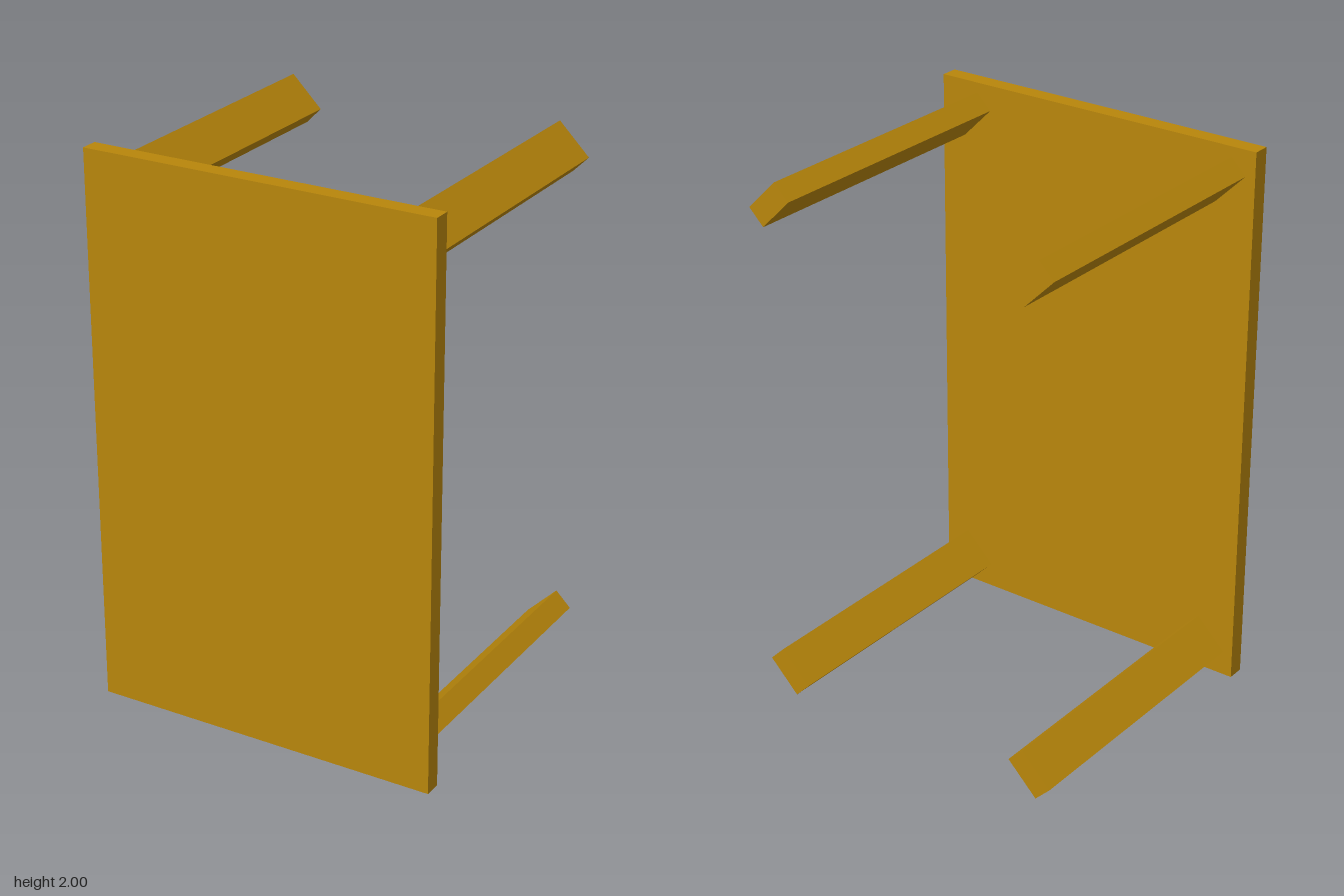
import * as THREE from 'three';

export function createModel() {
  const group = new THREE.Group();
  const wood = new THREE.MeshStandardMaterial({ color: 0xb8860b, flatShading: true });

  const addBox = (name, size, position, roll = 0) => {
    const mesh = new THREE.Mesh(new THREE.BoxGeometry(...size), wood);
    mesh.name = name;
    mesh.position.set(...position);
    mesh.rotation.z = roll;
    group.add(mesh);
  };

  // Table top standing on its edge
  addBox('tableTop', [1.28, 2, 0.062], [0, 1, 0.53]);

  // Flat legs reaching backwards, upper and lower pairs rolled opposite ways
  for (const [side, x] of [['left', 0.52], ['right', -0.52]]) {
    addBox(`${side}UpperLeg`, [0.157, 0.079, 1.06], [x, 1.88, -0.031], -Math.PI / 4);
    addBox(`${side}LowerLeg`, [0.157, 0.079, 1.06], [x, 0.12, -0.031], Math.PI / 4);
  }
  return group;
}
